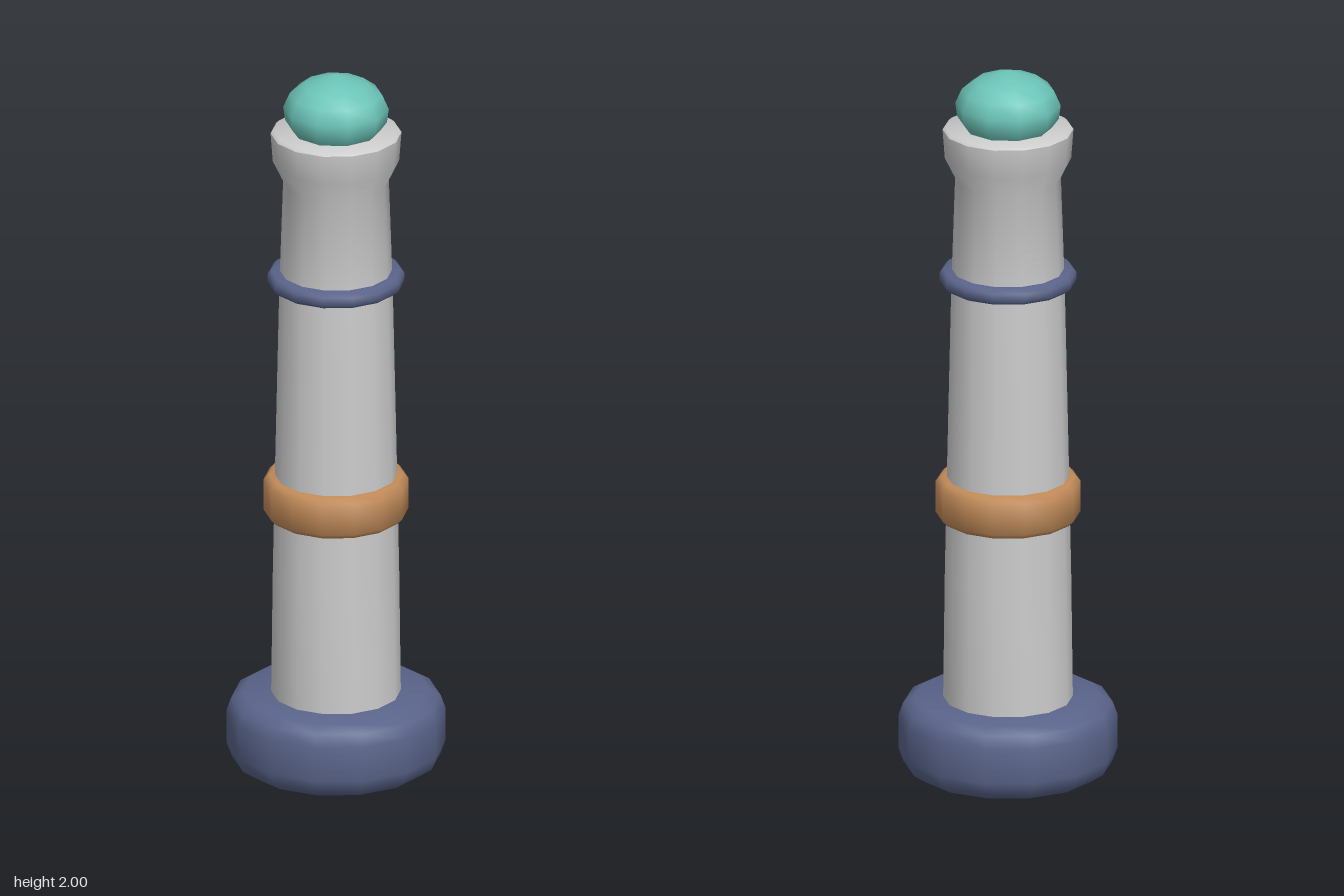
import * as THREE from 'three';
import { toCreasedNormals } from 'three/addons/utils/BufferGeometryUtils.js';

const GREY = 0xcccccc, BLUE = 0x5a648a, COPPER = 0xc08a58, TEAL = 0x6cc4b8;

// Turned part: profile of [radius, height] from bottom to top
function turned(name, color, profile, sides = 14) {
  const points = profile.map(([r, y]) => new THREE.Vector2(r, y));
  const geometry = toCreasedNormals(new THREE.LatheGeometry(points, sides), 0.9);
  const mesh = new THREE.Mesh(geometry, new THREE.MeshStandardMaterial({ color }));
  mesh.name = name;
  return mesh;
}

// Bevelled band wrapped around the shaft
function band(name, color, bottom, top, inner, outer, bevel) {
  return turned(name, color, [
    [inner, bottom], [outer - bevel, bottom], [outer, bottom + bevel],
    [outer, top - bevel], [outer - bevel, top], [inner, top],
  ]);
}

export function createModel() {
  const group = new THREE.Group();
  group.name = 'handle';

  // Tapered shaft with a flared collar at the top
  group.add(turned('shaft', GREY, [
    [0, 0.2], [0.171, 0.2], [0.166, 0.6], [0.16, 0.9], [0.149, 1.4], [0.139, 1.7],
    [0.166, 1.755], [0.172, 1.835], [0.164, 1.842], [0, 1.842],
  ]));

  // Small stud under the pommel
  group.add(turned('stud', GREY, [
    [0, 0], [0.055, 0.012], [0.115, 0.05], [0.115, 0.08], [0, 0.08],
  ], 10));

  // Heavy pommel
  group.add(turned('pommel', BLUE, [
    [0, 0.054], [0.245, 0.054], [0.275, 0.075], [0.287, 0.11],
    [0.287, 0.205], [0.275, 0.238], [0.245, 0.255], [0, 0.255],
  ]));

  // Bands around the shaft
  group.add(band('lowerBand', COPPER, 0.755, 0.869, 0.14, 0.19, 0.014));
  group.add(band('upperBand', BLUE, 1.405, 1.446, 0.13, 0.18, 0.01));

  // Faceted round cap
  group.add(turned('cap', TEAL, [
    [0, 1.835], [0.112, 1.838], [0.134, 1.868], [0.139, 1.905],
    [0.122, 1.944], [0.085, 1.972], [0, 2],
  ], 10));

  return group;
}
